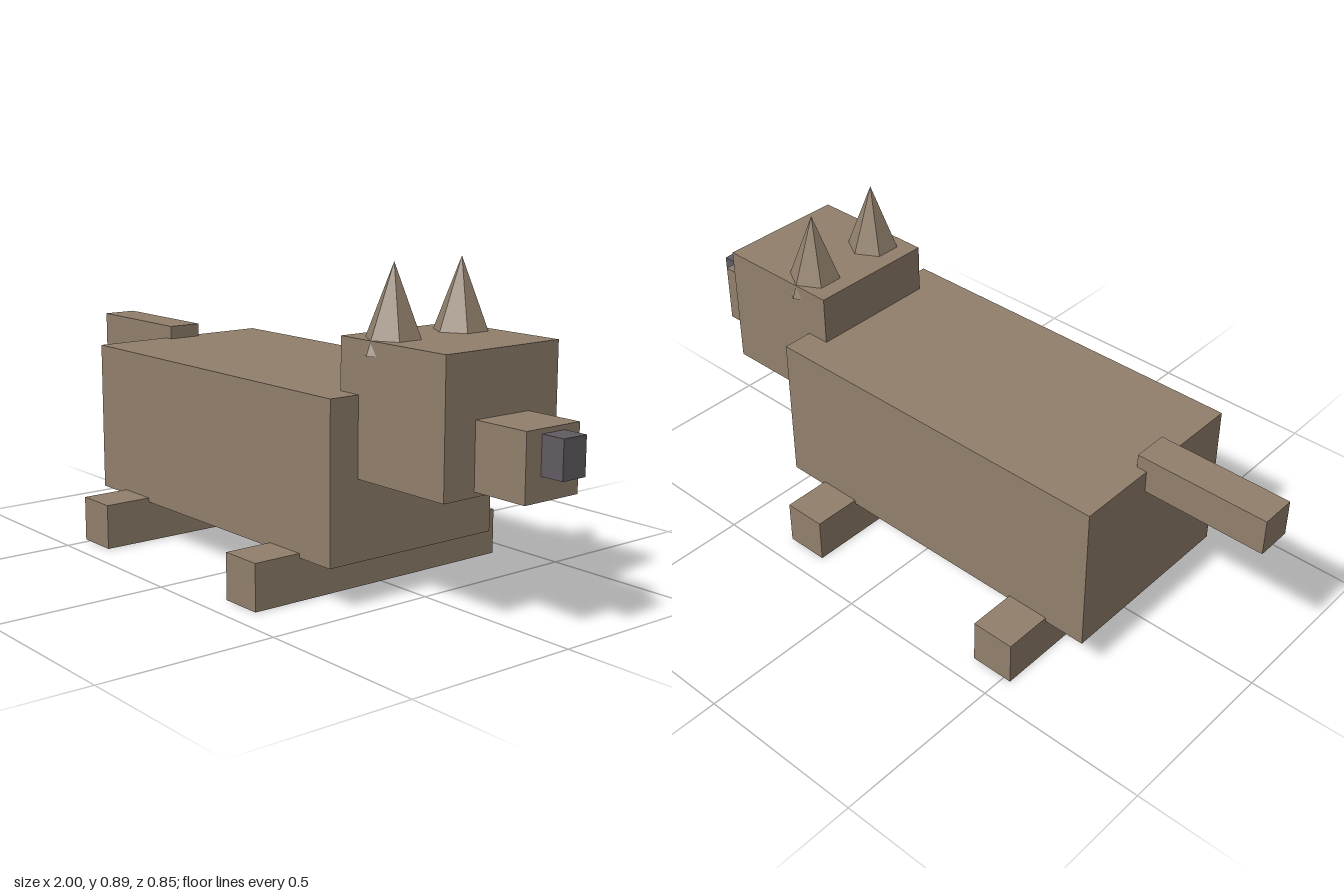
import * as THREE from 'three';

export function createModel() {
  const model = new THREE.Group();
  model.name = 'blockDog';

  const fur = new THREE.MeshStandardMaterial({ color: 0x917f6c });
  fur.name = 'brownFur';
  const dark = new THREE.MeshStandardMaterial({ color: 0x615c62 });
  dark.name = 'darkNose';

  // Box spanning x0..x1 and y0..y1, centred on z = 0
  function block(name, x0, x1, y0, y1, depth, material = fur) {
    const mesh = new THREE.Mesh(new THREE.BoxGeometry(x1 - x0, y1 - y0, depth), material);
    mesh.position.set((x0 + x1) / 2, (y0 + y1) / 2, 0);
    mesh.name = name;
    model.add(mesh);
  }

  block('body', -0.645, 0.45, 0.118, 0.556, 0.566);
  block('head', 0.38, 0.765, 0.338, 0.698, 0.384);
  block('snout', 0.765, 0.932, 0.352, 0.53, 0.182);
  block('nose', 0.932, 1, 0.415, 0.517, 0.078, dark);
  block('tail', -1, -0.615, 0.492, 0.595, 0.102);

  // Each pair of legs is one bar running under the body
  block('backLegs', -0.522, -0.395, 0, 0.13, 0.85);
  block('frontLegs', 0.198, 0.325, 0, 0.13, 0.85);

  // Six-sided pointed ears, sunk slightly into the head
  const earGeometry = new THREE.ConeGeometry(0.089, 0.23, 6).toNonIndexed();
  earGeometry.computeVertexNormals();
  for (const side of [-1, 1]) {
    const ear = new THREE.Mesh(earGeometry, fur);
    ear.position.set(0.494, 0.775, side * 0.116);
    ear.name = side > 0 ? 'frontSideEar' : 'backSideEar';
    model.add(ear);
  }

  return model;
}
